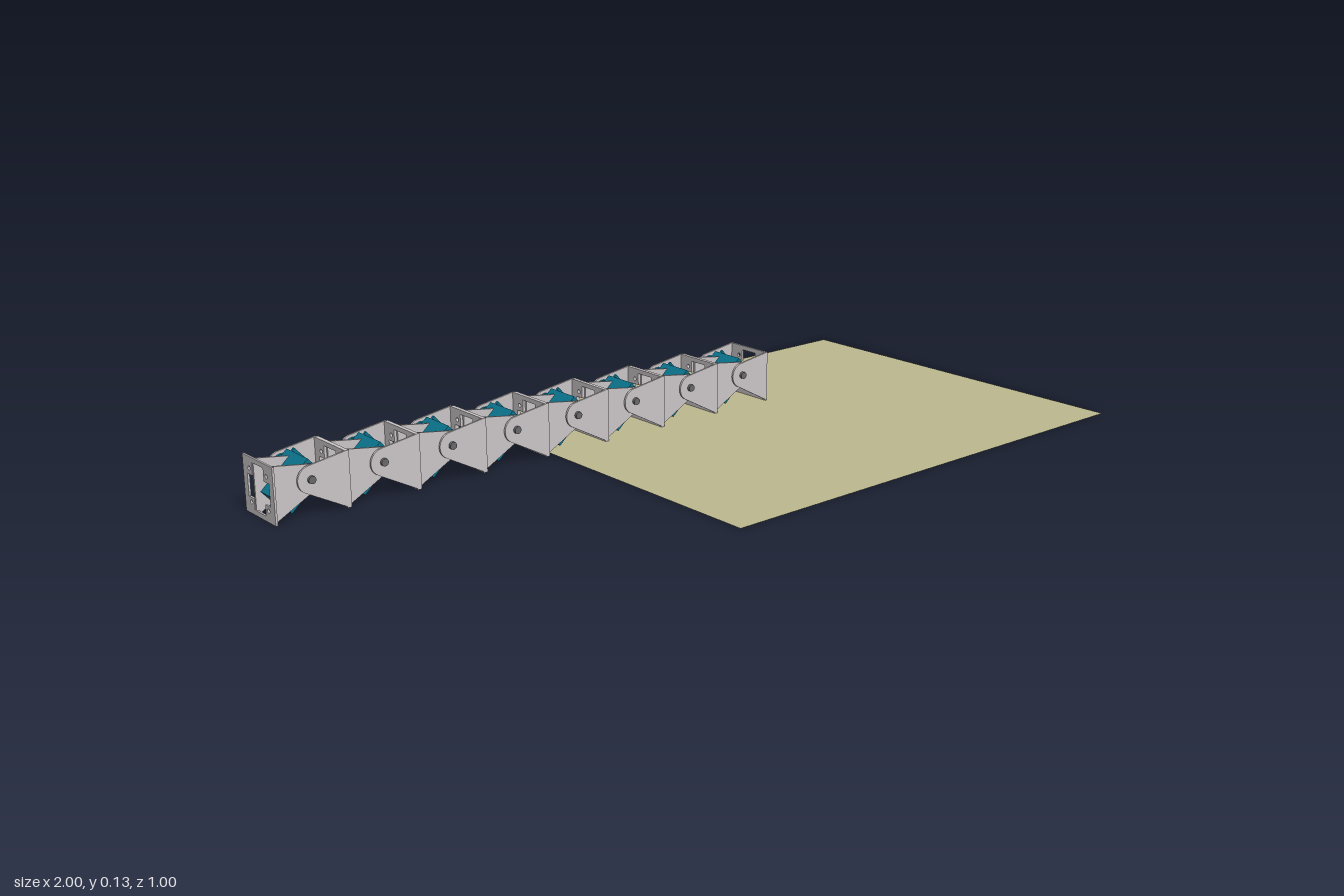
import * as THREE from 'three';

const PITCH = 0.179, COUNT = 8, START = -1, ROW_Z = -0.2175;
const HEIGHT = 0.131, PIVOT = new THREE.Vector2(PITCH / 2, 0.085), SHEET = 0.005;

const mat = (name, color, side = THREE.FrontSide) =>
  Object.assign(new THREE.MeshStandardMaterial({ color, side }), { name });

function add(group, name, geometry, material, x = 0, y = 0, z = 0) {
  const mesh = new THREE.Mesh(geometry, material);
  mesh.name = name;
  mesh.position.set(x, y, z);
  group.add(mesh);
  return mesh;
}

// Sheet arm tapering from the tall end plate to a rounded pivot eye at the origin
function armGeometry() {
  const r = 0.032, reach = PITCH / 2;
  const tangent = (y, sign) => Math.atan2(y, reach) + sign * Math.acos(r / Math.hypot(y, reach));
  const top = HEIGHT - PIVOT.y, bottom = -PIVOT.y;
  const s = new THREE.Shape();
  s.moveTo(reach, bottom);
  s.lineTo(reach, top);
  s.absarc(0, 0, r, tangent(top, 1), tangent(bottom, -1) + Math.PI * 2, false);
  s.closePath();
  return new THREE.ExtrudeGeometry(s, { depth: SHEET, bevelEnabled: false, curveSegments: 12 })
    .translate(0, 0, -SHEET / 2);
}

// End plate with a cross-shaped window and four screw holes
function plateGeometry() {
  const s = new THREE.Shape();
  const w = 0.066;
  s.moveTo(-w, 0); s.lineTo(w, 0); s.lineTo(w, HEIGHT); s.lineTo(-w, HEIGHT); s.closePath();
  const a = 0.048, b = 0.025, y0 = 0.012, y1 = 0.038, y2 = 0.09, y3 = 0.12;
  s.holes.push(new THREE.Path([
    [-b, y0], [b, y0], [b, y1], [a, y1], [a, y2], [b, y2],
    [b, y3], [-b, y3], [-b, y2], [-a, y2], [-a, y1], [-b, y1],
  ].map(([x, y]) => new THREE.Vector2(x, y))));
  for (const x of [-0.038, 0.038]) for (const y of [0.027, 0.104]) {
    const hole = new THREE.Path();
    hole.absarc(x, y, 0.005, 0, Math.PI * 2, true);
    s.holes.push(hole);
  }
  return new THREE.ExtrudeGeometry(s, { depth: SHEET, bevelEnabled: false, curveSegments: 8 })
    .rotateY(-Math.PI / 2).translate(SHEET, 0, 0);
}

export function createModel() {
  const model = new THREE.Group();
  model.name = 'jointedRobotChain';
  const metal = mat('bracketGrey', 0xcbc5c7);
  const blue = mat('servoBlue', 0x0b7690);
  const dark = mat('pinGrey', 0x68686c);
  const sand = mat('floorSand', 0xbdb98e, THREE.DoubleSide);

  // Floor sheet
  add(model, 'floor', new THREE.PlaneGeometry(1.266, 1).rotateX(-Math.PI / 2), sand, 0.367, 0, 0);

  const rightArm = armGeometry();
  const leftArm = armGeometry().rotateY(Math.PI);
  const plate = plateGeometry();
  const disc = (r, h, sides = 20) => new THREE.CylinderGeometry(r, r, h, sides).rotateX(Math.PI / 2);
  const body = new THREE.BoxGeometry(0.11, 0.055, 0.092);
  const ears = new THREE.BoxGeometry(0.128, 0.052, 0.006);
  const gearbox = disc(0.022, 0.012);
  const horn = disc(0.026, 0.006);
  const pin = disc(0.009, 0.012, 12);
  const screw = disc(0.004, 0.005, 8);

  for (let i = 0; i < COUNT; i++) {
    const link = new THREE.Group();
    link.name = 'link' + (i + 1);
    link.position.set(START + i * PITCH, 0, ROW_Z);
    model.add(link);

    // Servo bracket on the -x side, with an inner mounting arm at the back
    add(link, 'servoBracketPlate', plate, metal);
    add(link, 'servoBracketFrontArm', leftArm, metal, PIVOT.x, PIVOT.y, 0.055);
    add(link, 'servoBracketMountArm', leftArm, metal, PIVOT.x, PIVOT.y, -0.02);

    // Swinging bracket on the +x side, outside the servo bracket
    add(link, 'swingBracketPlate', plate, metal, PITCH - SHEET);
    add(link, 'swingBracketFrontArm', rightArm, metal, PIVOT.x, PIVOT.y, 0.0635);
    add(link, 'swingBracketBackArm', rightArm, metal, PIVOT.x, PIVOT.y, -0.0685);

    // Tilted servo; its output shaft lies on the pivot
    const servo = new THREE.Group();
    servo.name = 'servo';
    servo.position.set(PIVOT.x, PIVOT.y, 0);
    servo.rotation.z = THREE.MathUtils.degToRad(42);
    link.add(servo);
    add(servo, 'servoBody', body, blue, -0.024, 0, 0.002);
    add(servo, 'servoEars', ears, blue, -0.024, 0, -0.026);
    add(servo, 'servoGearbox', gearbox, blue, 0, 0, -0.05);
    add(servo, 'servoHorn', horn, blue, 0, 0, -0.061);
    for (const x of [-0.084, 0.036]) for (const y of [-0.014, 0.014])
      add(servo, 'earScrew', screw, dark, x, y, -0.03);

    // Pivot pins
    add(link, 'frontPivotPin', pin, dark, PIVOT.x, PIVOT.y, 0.067);
    add(link, 'backPivotPin', pin, dark, PIVOT.x, PIVOT.y, -0.072);
  }
  return model;
}
